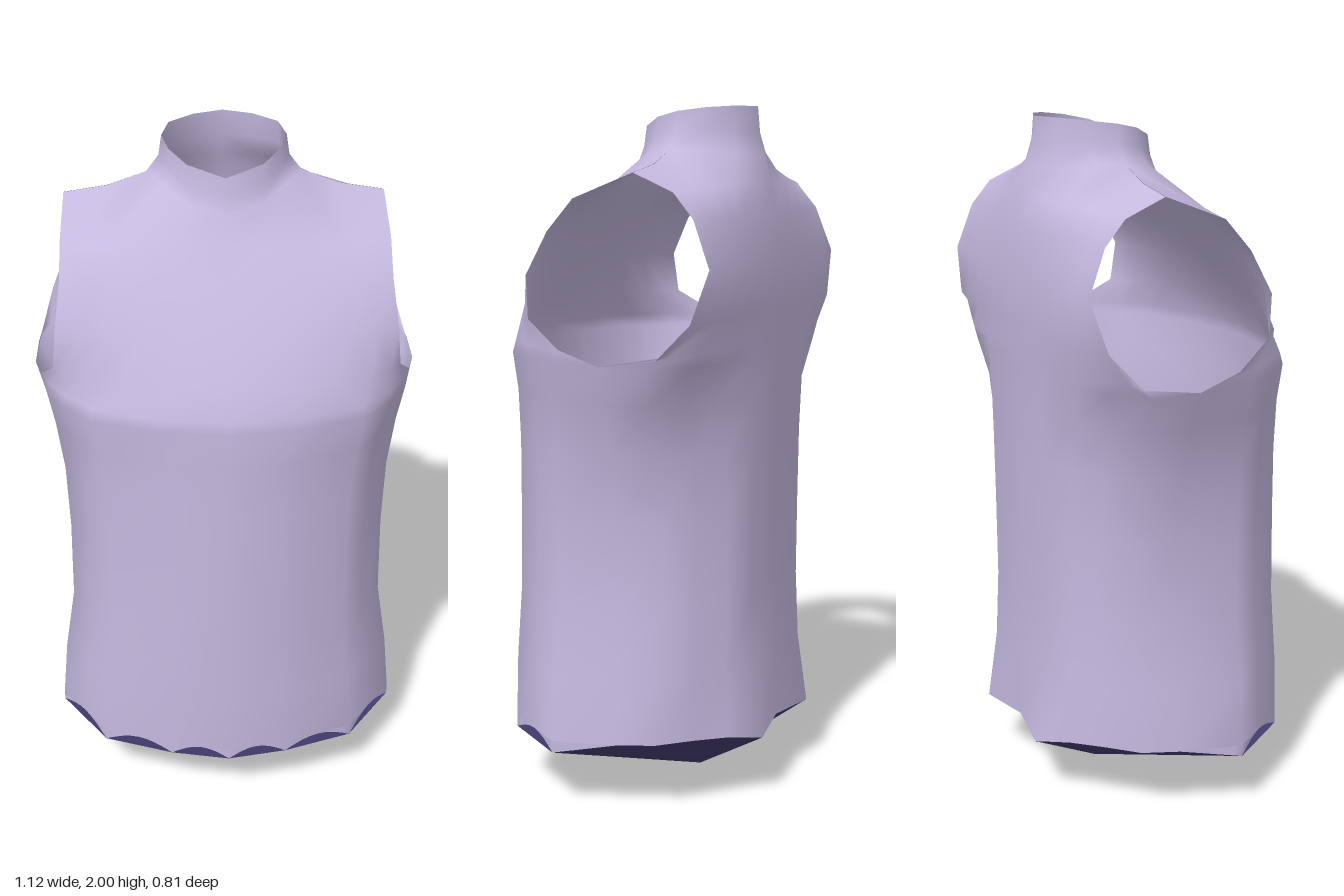
import * as THREE from 'three';
import { mergeGeometries, mergeVertices } from 'three/addons/utils/BufferGeometryUtils.js';

const STEPS = 8; // subdivisions of each hem scallop

// Complete a half row (+x side to centre) by mirroring; sign -1 starts it on the -x side
function mirrorRow(half, sign) {
  const a = half.map(([x, y, z]) => [sign * x, y, z]);
  const b = half.slice(0, -1).reverse().map(([x, y, z]) => [-sign * x, y, z]);
  return a.concat(b);
}
const frontRow = half => mirrorRow(half, 1);
const backRow = half => mirrorRow(half, -1);

// Surface through rows of equal length, ordered from bottom to top
function loft(rows) {
  const n = rows[0].length, index = [];
  for (let r = 0; r < rows.length - 1; r++) {
    for (let i = 0; i < n - 1; i++) {
      const a = r * n + i, b = a + n;
      index.push(a, b, a + 1, a + 1, b, b + 1);
    }
  }
  const geometry = new THREE.BufferGeometry();
  geometry.setAttribute('position', new THREE.Float32BufferAttribute(rows.flat(2), 3));
  geometry.setIndex(index);
  return geometry;
}

// Chest or back row between an armhole point and a centre point
function panelRow([ex, ey, ez], [cy, cz]) {
  return [1, 0.86, 0.7, 0.5, 0.25, 0].map(f => {
    const t = 1 - f * f;
    return [ex * f, ey + (cy - ey) * t, ez + (cz - ez) * t];
  });
}

// Row at one height from [x, z] pairs
const level = (y, points) => points.map(([x, z]) => [x, y, z]);

// Half rows of the waist: side, corner, then round to the centre
const frontWaist = ({ y, side, wide, front }) => level(y, [
  [side, -0.08], [wide, 0.1], [wide * 0.865, 0.2],
  [wide * 0.73, front * 0.745], [wide * 0.34, front * 0.925], [0, front]]);
const backWaist = ({ y, side, corner, back }) => level(y, [
  [side, -0.08], [corner, -0.2], [corner * 0.81, -0.268],
  [corner * 0.62, -0.327], [0.18, -back], [0, -back + 0.004]]);

const rings = [
  { y: 0.4, side: 0.455, wide: 0.503, corner: 0.425, front: 0.404, back: 0.378 },
  { y: 0.6, side: 0.43, wide: 0.472, corner: 0.405, front: 0.4, back: 0.368 },
  { y: 0.85, side: 0.435, wide: 0.468, corner: 0.407, front: 0.396, back: 0.369 },
  { y: 1.05, side: 0.475, wide: 0.475, corner: 0.44, front: 0.39, back: 0.371 },
  { y: 1.2, side: 0.52, wide: 0.495, corner: 0.505, front: 0.386, back: 0.374 },
];
const frontHem = level(0.215, [[0.472, -0.08], [0.52, 0.1], [0.45, 0.2], [0.38, 0.3], [0.175, 0.372], [0, 0.405]]);
const backHem = [[0.472, 0.215, -0.08], [0.44, 0.222, -0.19], [0.355, 0.22, -0.268],
  [0.27, 0.213, -0.34], [0.18, 0.193, -0.41], [0, 0.2, -0.38]];

// Shoulder seam, then the curve around the neck base
const seam = [[0.455, 1.82, -0.13], [0.33, 1.84, -0.13], [0.22, 1.88, -0.13]];
const neckFront = [[0.17, 1.875, -0.04], [0.1, 1.84, 0.03], [0, 1.825, 0.065]];
const neckBack = [[0.18, 1.88, -0.2], [0.11, 1.87, -0.28], [0, 1.86, -0.325]];

const frontRows = [
  frontHem,
  ...rings.map(frontWaist),
  level(1.31, [[0.56, -0.08], [0.515, 0.11], [0.465, 0.2], [0.38, 0.293], [0.19, 0.357], [0, 0.382]]),
  level(1.345, [[0.53, 0.06], [0.505, 0.125], [0.46, 0.2], [0.375, 0.285], [0.19, 0.352], [0, 0.376]]),
  level(1.42, [[0.487, 0.178], [0.455, 0.208], [0.4, 0.248], [0.3, 0.288], [0.16, 0.325], [0, 0.338]]),
  panelRow([0.475, 1.54, 0.19], [1.54, 0.265]),
  panelRow([0.46, 1.66, 0.13], [1.66, 0.178]),
  panelRow([0.458, 1.75, 0.05], [1.75, 0.108]),
  [...seam, ...neckFront],
];
const backRows = [
  backHem,
  ...rings.map(backWaist),
  level(1.31, [[0.56, -0.08], [0.56, -0.22], [0.46, -0.305], [0.36, -0.345], [0.19, -0.375], [0, -0.378]]),
  [[0.55, 1.335, -0.245], ...level(1.345, [[0.525, -0.275], [0.455, -0.322], [0.36, -0.354], [0.19, -0.375], [0, -0.379]])],
  level(1.43, [[0.52, -0.33], [0.455, -0.353], [0.38, -0.367], [0.27, -0.375], [0.14, -0.38], [0, -0.381]]),
  panelRow([0.465, 1.57, -0.36], [1.57, -0.384]),
  panelRow([0.458, 1.7, -0.31], [1.7, -0.36]),
  panelRow([0.456, 1.77, -0.25], [1.79, -0.342]),
  // tiny offset keeps the shoulder seam a sharp crease
  [...seam.slice(0, 2).map(([x, y, z]) => [x, y, z - 0.002]), seam[2], ...neckBack],
];

// Standing collar rings, higher at the back
function collarRows() {
  const base = [...frontRow([seam[2], ...neckFront]), ...backRow(neckBack), seam[2]];
  const rimFront = [[0.175, 1.985, -0.13], [0.155, 1.97, -0.06], [0.105, 1.945, 0], [0, 1.92, 0.04]];
  const rimBack = [[0.155, 1.995, -0.21], [0.085, 2, -0.265], [0, 2, -0.3]];
  const rim = [...frontRow(rimFront), ...backRow(rimBack), rimFront[0]];
  const middle = base.map(([x, y, z], i) => {
    const [rx, ry, rz] = rim[i];
    return [x + (rx - x) * 0.8, y + (ry - y) * 0.45, z + (rz - z) * 0.7];
  });
  return [base, middle, rim];
}

// Scalloped edge hanging below the front hem
function scallopRows() {
  const nodes = frontRow(frontHem.filter((_, i) => i !== 2));
  const count = (nodes.length - 1) * STEPS;
  const bottom = [], top = [];
  for (let i = 0; i <= count; i++) {
    const k = Math.min(Math.floor(i / STEPS), nodes.length - 2), t = i / STEPS - k;
    const x = nodes[k][0] + (nodes[k + 1][0] - nodes[k][0]) * t;
    const z = nodes[k][2] + (nodes[k + 1][2] - nodes[k][2]) * t;
    const d = Math.min(i, count - i) / STEPS;
    bottom.push([x, d < 1 ? 0.215 - 0.035 * d : 0.18 + 0.034 * Math.abs(Math.sin(Math.PI * d)), z]);
    top.push([x, 0.215, z]);
  }
  return [bottom, top];
}

export function createModel() {
  const group = new THREE.Group();
  const fabric = new THREE.MeshStandardMaterial({ name: 'lavender fabric', color: 0xc4b8de, side: THREE.DoubleSide });
  const lining = new THREE.MeshStandardMaterial({ name: 'dark purple lining', color: 0x453d70, side: THREE.DoubleSide });
  const add = (name, parts, material) => {
    const geometry = mergeVertices(mergeGeometries(parts), 1e-4);
    geometry.computeVertexNormals();
    const mesh = new THREE.Mesh(geometry, material);
    mesh.name = name;
    group.add(mesh);
  };

  // Sleeveless body with open armholes and collar
  add('body', [loft(frontRows.map(frontRow)), loft(backRows.map(backRow)), loft(collarRows())], fabric);
  add('frontHemScallops', [loft(scallopRows())], fabric);

  // Shallow pointed underside closing the hem
  const lowHem = frontHem.map(([x, y, z], i) => [x, i ? 0.18 : y, z]);
  const ring = [...frontRow(lowHem), ...backRow(backHem).slice(1)];
  add('underside', [loft([ring.map(() => [0, 0, -0.13]), ring])], lining);

  return group;
}
